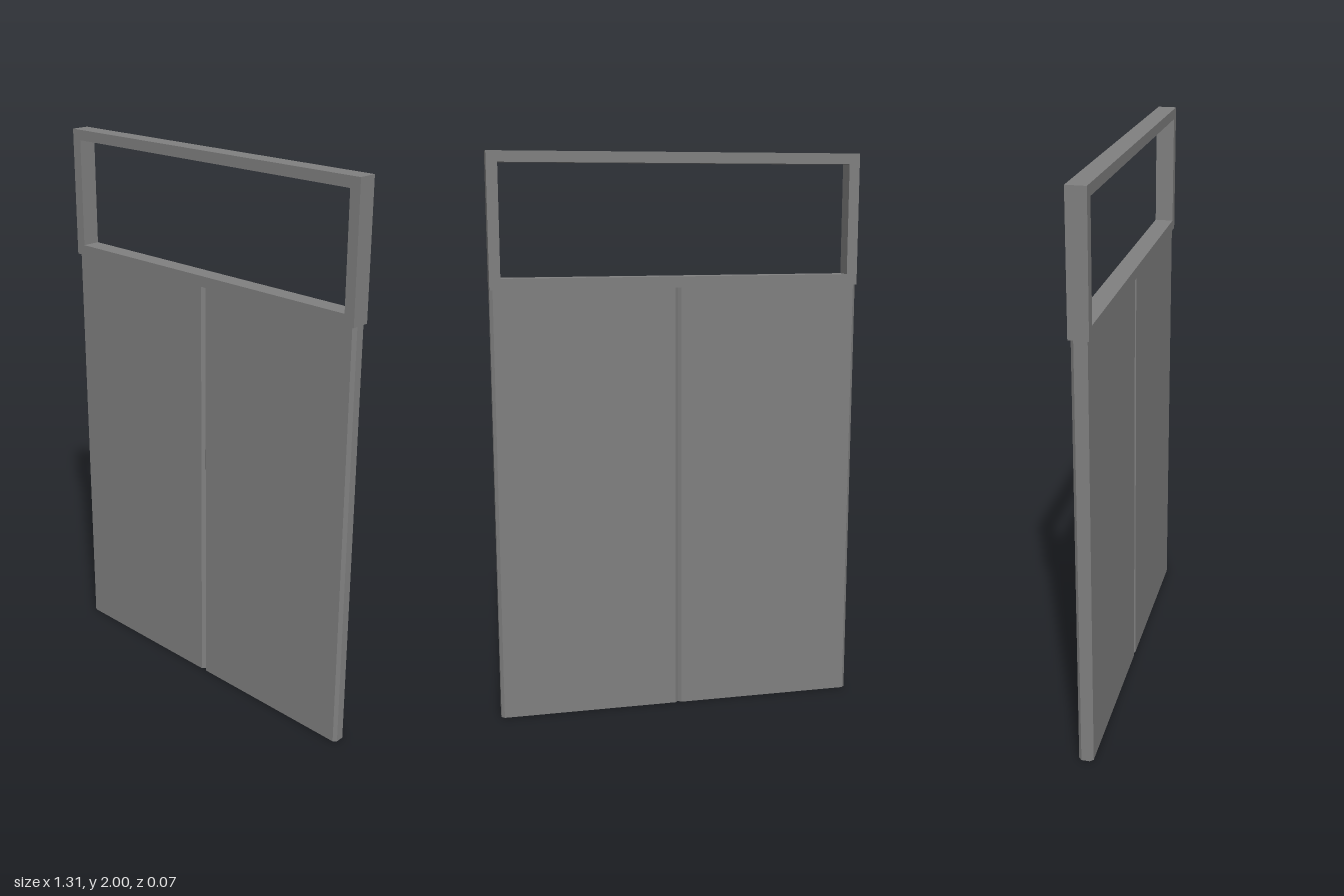
import * as THREE from 'three';

const HALF_W = 0.655, FRAME_BOTTOM = 1.54, TOP = 2, FRAME_DEPTH = 0.066;
const PANEL_HALF_DEPTH = 0.026, BEVEL = 0.011;

export function createModel() {
  const group = new THREE.Group();
  const material = new THREE.MeshStandardMaterial({ color: 0x808080 });
  const add = (geometry, name) => {
    const mesh = new THREE.Mesh(geometry, material);
    mesh.name = name;
    group.add(mesh);
    return mesh;
  };

  const polygon = (Type, points) => new Type(points.map(([x, y]) => new THREE.Vector2(x, y)));
  const rect = (Type, x, y0, y1) => polygon(Type, [[-x, y0], [x, y0], [x, y1], [-x, y1]]);

  // Transom frame with an open window
  const frame = rect(THREE.Shape, HALF_W, FRAME_BOTTOM, TOP);
  frame.holes.push(rect(THREE.Path, 0.617, 1.578, 1.963));
  const frameGeometry = new THREE.ExtrudeGeometry(frame, { depth: FRAME_DEPTH, bevelEnabled: false });
  frameGeometry.translate(0, 0, -FRAME_DEPTH / 2);
  add(frameGeometry, 'transomFrame');

  // Door leaves: plan outline with chamfered vertical edges, extruded upwards
  const w = HALF_W / 2, d = PANEL_HALF_DEPTH, x = w - BEVEL, z = d - BEVEL;
  const plan = polygon(THREE.Shape, [
    [-x, -d], [x, -d], [w, -z], [w, z], [x, d], [-x, d], [-w, z], [-w, -z],
  ]);
  const leafGeometry = new THREE.ExtrudeGeometry(plan, { depth: FRAME_BOTTOM, bevelEnabled: false });
  leafGeometry.rotateX(-Math.PI / 2);
  for (const [side, name] of [[1, 'leftDoorLeaf'], [-1, 'rightDoorLeaf']]) {
    add(leafGeometry, name).position.x = side * w;
  }

  return group;
}
